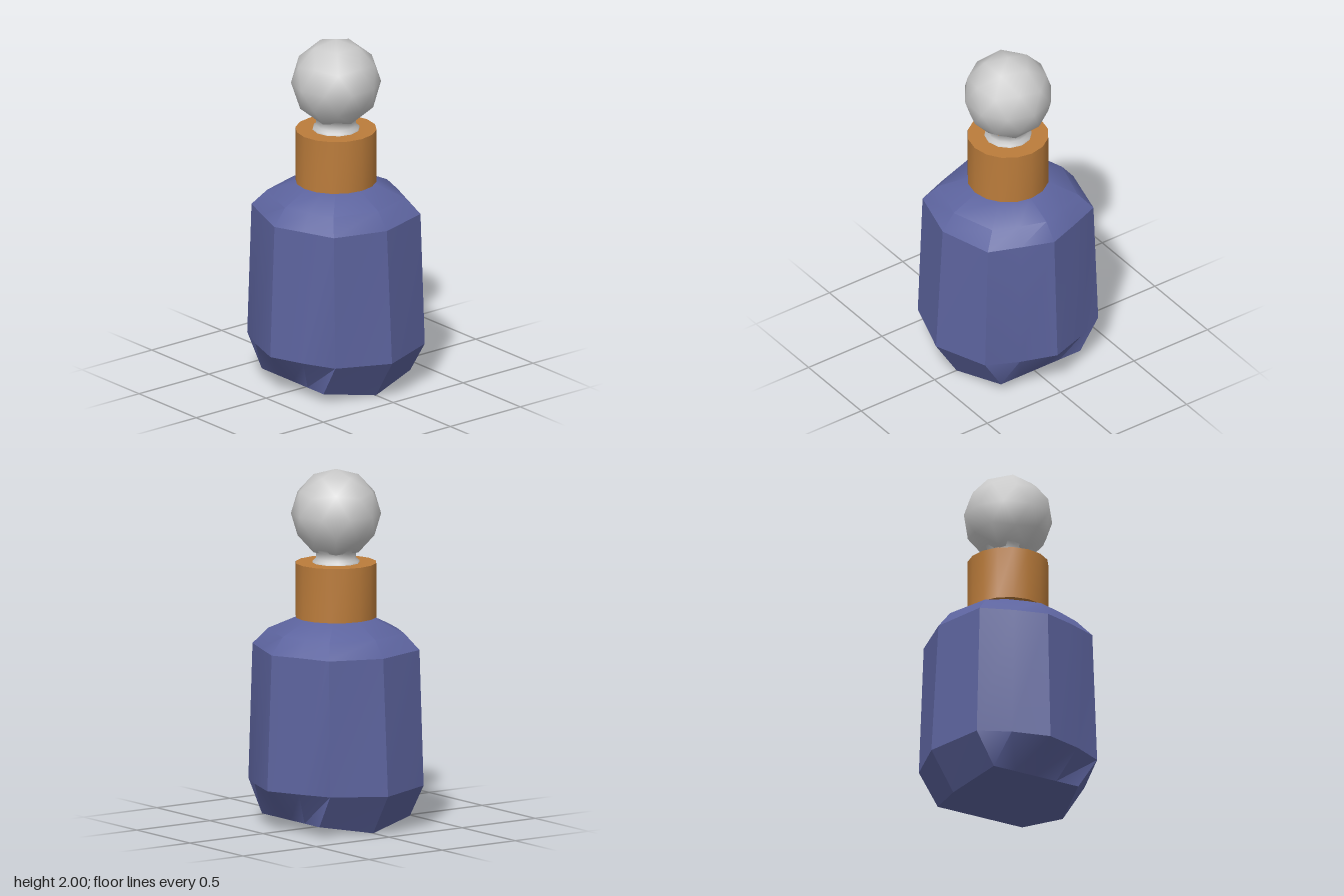
import * as THREE from 'three';
import { toCreasedNormals } from 'three/addons/utils/BufferGeometryUtils.js';

const material = (name, color) => {
  const m = new THREE.MeshStandardMaterial({ color });
  m.name = name;
  return m;
};

// Each ring is a quarter outline of [x, y, z] from +x to +z, mirrored all round
const RINGS = [
  [[0.35, 0, 0], [0.27, 0.055, 0.31], [0.13, 0.055, 0.31], [0, 0.055, 0.31]],
  [[0.49, 0.225, 0], [0.385, 0.24, 0.32], [0.21, 0.24, 0.405], [0, 0.235, 0.47]],
  [[0.445, 0.995, 0], [0.36, 1.0, 0.31], [0.18, 1.0, 0.38], [0, 0.995, 0.44]],
  [[0.37, 1.09, 0], [0.29, 1.09, 0.255], [0.15, 1.09, 0.315], [0, 1.09, 0.365]],
  [[0.21, 1.165, 0], [0.165, 1.165, 0.14], [0.1, 1.165, 0.18], [0, 1.165, 0.21]],
];

function mirrorRing(q) {
  const flip = (p, sx, sz) => [p[0] * sx, p[1], p[2] * sz];
  return [
    ...q,
    ...[2, 1, 0].map(i => flip(q[i], -1, 1)),
    ...[1, 2, 3].map(i => flip(q[i], -1, -1)),
    ...[2, 1].map(i => flip(q[i], 1, -1)),
  ];
}

function bodyGeometry() {
  const rings = RINGS.map(mirrorRing);
  const n = rings[0].length;
  const points = rings.flat();
  const bottom = points.push([0, 0, 0]) - 1;
  const top = points.push([0, 1.17, 0]) - 1;
  const index = [];
  for (let i = 0; i < n; i++) {
    const j = (i + 1) % n;
    for (let r = 0; r < rings.length - 1; r++) {
      const a = r * n + i, b = r * n + j;
      index.push(a, a + n, b, b, a + n, b + n);
    }
    const last = (rings.length - 1) * n;
    index.push(bottom, i, j, top, last + j, last + i);
  }
  const g = new THREE.BufferGeometry();
  g.setAttribute('position', new THREE.Float32BufferAttribute(points.flat(), 3));
  g.setIndex(index);
  return toCreasedNormals(g, 0.5);
}

export function createModel() {
  const group = new THREE.Group();
  const blue = material('blue glass', 0x5d649f);
  const amber = material('amber brown', 0xbb7c3b);
  const pale = material('pale grey', 0xcbcbcb);
  const add = (name, geometry, mat, y = 0) => {
    const mesh = new THREE.Mesh(geometry, mat);
    mesh.name = name;
    mesh.position.y = y;
    group.add(mesh);
  };

  // Faceted bottle with a ridged base
  add('bottleBody', bodyGeometry(), blue);

  // Collar around the bottle neck
  add('collar', toCreasedNormals(new THREE.CylinderGeometry(0.226, 0.226, 0.305, 16), 0.7), amber, 1.3225);

  // Stopper stem, flared where it meets the collar
  const stem = [[0.135, 1.46], [0.13, 1.485], [0.112, 1.5], [0.112, 1.535], [0.14, 1.56]];
  add('stopperStem', new THREE.LatheGeometry(stem.map(p => new THREE.Vector2(...p)), 12), pale);

  // Ball stopper, turned so a vertex points straight up
  const ball = new THREE.IcosahedronGeometry(0.25, 1);
  ball.rotateZ(Math.PI / 2 - Math.atan((1 + Math.sqrt(5)) / 2));
  add('stopperBall', ball, pale, 1.75);

  return group;
}
